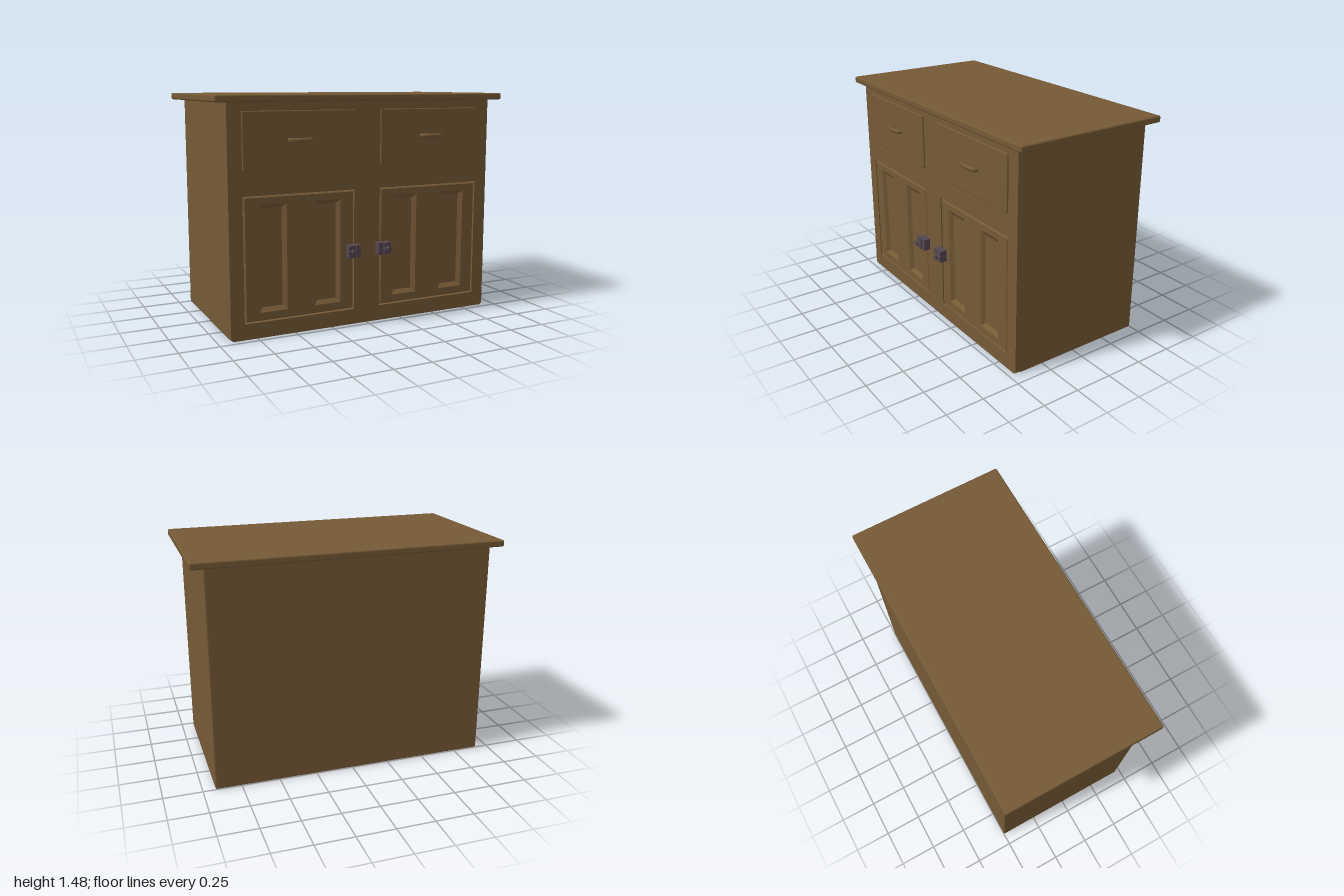
import * as THREE from 'three';
import { RoundedBoxGeometry } from 'three/addons/geometries/RoundedBoxGeometry.js';

const wood = new THREE.MeshStandardMaterial({ name: 'wood', color: 0x765a36 });
const iron = new THREE.MeshStandardMaterial({ name: 'iron', color: 0x544650 });

function add(parent, name, geometry, material, x = 0, y = 0, z = 0) {
  const mesh = new THREE.Mesh(geometry, material);
  mesh.name = name;
  mesh.position.set(x, y, z);
  parent.add(mesh);
  return mesh;
}

// Box with small chamfered edges, given by its limits
function block(parent, name, material, [x0, x1], [y0, y1], [z0, z1], r) {
  const g = new RoundedBoxGeometry(x1 - x0, y1 - y0, z1 - z0, 1, r);
  return add(parent, name, g, material, (x0 + x1) / 2, (y0 + y1) / 2, (z0 + z1) / 2);
}

function rect(target, x0, x1, y0, y1) {
  target.moveTo(x0, y0).lineTo(x1, y0).lineTo(x1, y1).lineTo(x0, y1).closePath();
  return target;
}

// Sunken panel: four sloping sides and a flat floor
function sunkenPanel(w, h, bevel, depth) {
  const ring = (a, b, z) => [[-a, -b, z], [a, -b, z], [a, b, z], [-a, b, z]];
  const o = ring(w / 2, h / 2, 0);
  const i = ring(w / 2 - bevel, h / 2 - bevel, -depth);
  const pos = [];
  const quad = (a, b, c, d) => pos.push(...a, ...b, ...c, ...a, ...c, ...d);
  for (let k = 0; k < 4; k++) {
    const n = (k + 1) % 4;
    quad(o[k], o[n], i[n], i[k]);
  }
  quad(...i);
  const g = new THREE.BufferGeometry();
  g.setAttribute('position', new THREE.Float32BufferAttribute(pos, 3));
  g.computeVertexNormals();
  return g;
}

export function createModel() {
  const cabinet = new THREE.Group();
  cabinet.name = 'cabinet';

  // Carcass and worktop
  block(cabinet, 'carcass', wood, [-0.92, 0.92], [0, 1.445], [-0.5, 0.425], 0.01);
  block(cabinet, 'worktop', wood, [-1, 1], [1.437, 1.48], [-0.537, 0.503], 0.01);

  // Face frame with two door openings
  const outline = new THREE.Shape();
  outline.moveTo(-0.905, 0).lineTo(0.905, 0).lineTo(0.92, 0.012).lineTo(0.92, 1.44);
  outline.lineTo(-0.92, 1.44).lineTo(-0.92, 0.012).closePath();
  for (const [a, b] of [[0.092, 0.832], [-0.832, -0.092]]) {
    outline.holes.push(rect(new THREE.Path(), a, b, 0.1, 0.885));
  }
  const frame = new THREE.ExtrudeGeometry(outline, { depth: 0.05, bevelEnabled: false });
  add(cabinet, 'faceFrame', frame, wood, 0, 0, 0.41);

  for (const s of [-1, 1]) {
    const side = s > 0 ? 'left' : 'right';
    const span = (a, b) => (s > 0 ? [a, b] : [-b, -a]);

    // Drawer front and bowed pull
    block(cabinet, side + 'Drawer', wood, span(0.092, 0.83), [1.03, 1.385], [0.44, 0.47], 0.006);
    const bow = new THREE.CatmullRomCurve3([
      [-0.073, 0.465], [-0.068, 0.482], [-0.04, 0.492], [0, 0.495],
      [0.04, 0.492], [0.068, 0.482], [0.073, 0.465],
    ].map(([x, z]) => new THREE.Vector3(x, 0, z)));
    const pull = new THREE.TubeGeometry(bow, 24, 0.01, 8, false);
    add(cabinet, side + 'DrawerPull', pull, wood, s * 0.462, 1.207, 0).scale.y = 1.4;

    // Door with two sunken panels
    const door = new THREE.Group();
    door.name = side + 'Door';
    cabinet.add(door);
    const shape = rect(new THREE.Shape(), ...span(0.105, 0.819), 0.115, 0.87);
    const panels = [span(0.188, 0.368), span(0.552, 0.735)];
    for (const [a, b] of panels) shape.holes.push(rect(new THREE.Path(), a, b, 0.16, 0.827));
    const slab = new THREE.ExtrudeGeometry(shape, {
      depth: 0.02, bevelSize: 0.007, bevelThickness: 0.007, bevelSegments: 1,
    });
    add(door, 'doorFrame', slab, wood, 0, 0, 0.433);
    for (const [a, b] of panels) {
      add(door, 'doorPanel', sunkenPanel(b - a, 0.667, 0.026, 0.022), wood, (a + b) / 2, 0.4935, 0.46);
    }

    // Latch: two plates, turning stem and crossbar
    const latch = new THREE.Group();
    latch.name = side + 'Latch';
    cabinet.add(latch);
    block(latch, 'latchKeeper', iron, span(0.065, 0.099), [0.45, 0.53], [0.455, 0.505], 0.003);
    block(latch, 'latchPlate', iron, span(0.101, 0.151), [0.45, 0.53], [0.455, 0.51], 0.003);
    const stem = new THREE.CylinderGeometry(0.015, 0.015, 0.04, 10);
    stem.rotateX(Math.PI / 2);
    add(latch, 'latchStem', stem, iron, s * 0.127, 0.49, 0.518);
    block(latch, 'latchBar', iron, span(0.098, 0.163), [0.483, 0.497], [0.512, 0.526], 0.003);
  }
  return cabinet;
}
